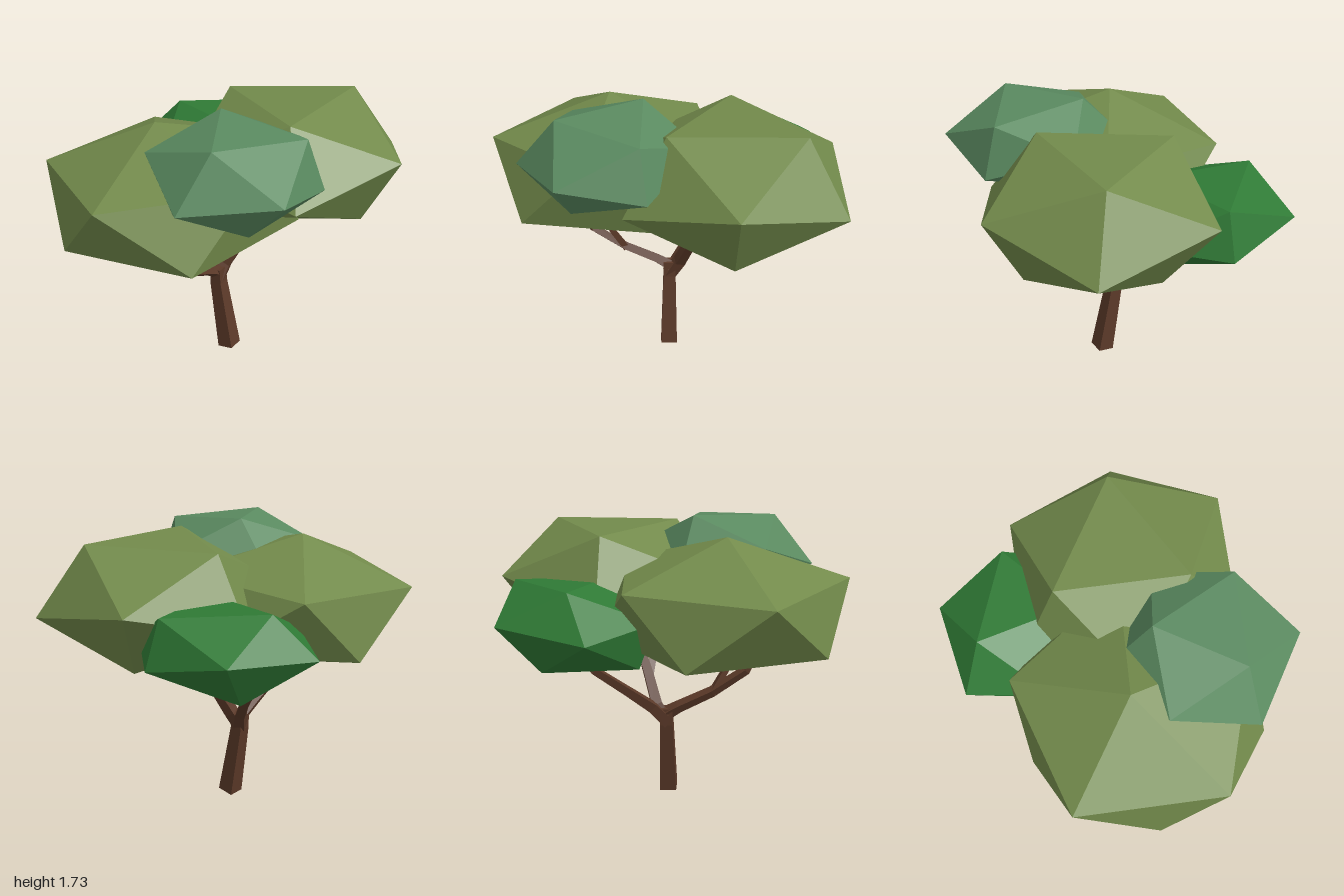
import * as THREE from 'three';
import { ConvexGeometry } from 'three/addons/geometries/ConvexGeometry.js';

const vec = (p) => new THREE.Vector3(...p);
const flat = (color) => new THREE.MeshStandardMaterial({ color, flatShading: true });

// Faceted crown: six corners plus their mirror points through the centre
function crown(name, color, centre, corners) {
  const c = vec(centre);
  const points = corners.flatMap((p) => {
    const v = vec(p);
    return [v, c.clone().multiplyScalar(2).sub(v)];
  });
  const mesh = new THREE.Mesh(new ConvexGeometry(points), flat(color));
  mesh.name = name;
  return mesh;
}

// Four-sided tapering limb; each path entry is [x, y, z, radius]
function limb(name, material, path, spin = 0) {
  const pts = path.map((p) => vec(p.slice(0, 3)));
  const n = pts.length;
  const pos = [], index = [];
  let side = new THREE.Vector3(Math.cos(spin), 0, Math.sin(spin));
  pts.forEach((p, i) => {
    const t = pts[Math.min(i + 1, n - 1)].clone().sub(pts[Math.max(i - 1, 0)]).normalize();
    side = side.clone().addScaledVector(t, -side.dot(t)).normalize();
    const up = new THREE.Vector3().crossVectors(t, side);
    for (let k = 0; k < 4; k++) {
      const a = (k * Math.PI) / 2, r = path[i][3];
      const v = p.clone().addScaledVector(side, Math.cos(a) * r).addScaledVector(up, Math.sin(a) * r);
      pos.push(v.x, v.y, v.z);
    }
  });
  for (let i = 0; i < n - 1; i++) {
    for (let k = 0; k < 4; k++) {
      const a = i * 4 + k, b = i * 4 + ((k + 1) % 4);
      index.push(a, b, b + 4, a, b + 4, a + 4);
    }
  }
  const e = (n - 1) * 4;
  index.push(0, 2, 1, 0, 3, 2, e, e + 1, e + 2, e, e + 2, e + 3);
  const geo = new THREE.BufferGeometry();
  geo.setAttribute('position', new THREE.Float32BufferAttribute(pos, 3));
  geo.setIndex(index);
  const flatGeo = geo.toNonIndexed();
  flatGeo.computeVertexNormals();
  const mesh = new THREE.Mesh(flatGeo, material);
  mesh.name = name;
  return mesh;
}

export function createModel() {
  const tree = new THREE.Group();
  tree.name = 'tree';
  const bark = flat(0x5c3a29);

  // Leaning trunk and forked branches
  tree.add(
    limb('trunk', bark, [[-0.015, 0.01, -0.012, 0.073], [-0.095, 0.47, -0.03, 0.055], [-0.1, 0.57, -0.03, 0.052]], 0.95),
    limb('frontBranch', bark, [[-0.1, 0.53, -0.04, 0.045], [-0.12, 0.58, 0.04, 0.038], [-0.15, 0.68, 0.24, 0.034],
      [-0.18, 0.82, 0.44, 0.03], [-0.18, 0.92, 0.49, 0.024]], 0.7),
    limb('frontTwig', bark, [[-0.15, 0.67, 0.24, 0.028], [-0.13, 0.82, 0.33, 0.024], [-0.12, 0.92, 0.36, 0.02]], 0.7),
    limb('backBranch', bark, [[-0.1, 0.48, -0.03, 0.048], [-0.16, 0.6, -0.13, 0.042], [-0.28, 0.75, -0.29, 0.034],
      [-0.44, 0.93, -0.48, 0.028]], 0.7),
    limb('sideBranch', bark, [[-0.1, 0.48, -0.03, 0.05], [-0.07, 0.58, -0.09, 0.045], [0.02, 0.74, -0.13, 0.04],
      [0.1, 0.88, -0.17, 0.034], [0.19, 1.04, -0.22, 0.028]], 0.7),
    limb('sideTwig', bark, [[0.01, 0.72, -0.13, 0.03], [0.11, 0.87, -0.09, 0.027], [0.21, 1.04, -0.06, 0.022]], 0.7),
  );

  // Leaf crowns
  tree.add(
    crown('frontCrown', 0x728a4b, [-0.255, 1.24, 0.28], [
      [-0.98, 1.37, 0.45], [-0.35, 1.41, 1.0], [-0.67, 1.02, 0.81],
      [0.15, 1.08, 0.88], [-0.17, 0.83, 0.27], [-0.86, 1.01, 0.0]]),
    crown('sideCrown', 0x728a4b, [0.285, 1.32, -0.325], [
      [0.97, 1.42, -0.19], [0.54, 1.66, -0.67], [0.39, 1.66, 0.08],
      [-0.18, 1.64, -0.42], [0.04, 1.38, -1.0], [0.76, 1.25, -0.86]]),
    crown('topCrown', 0x5a8a60, [0.18, 1.48, 0.375], [
      [0.17, 1.71, 0.66], [0.0, 1.73, 0.14], [0.55, 1.68, 0.25],
      [-0.29, 1.57, 0.52], [0.06, 1.42, 0.88], [0.59, 1.49, 0.71]]),
    crown('backCrown', 0x2f7a35, [-0.31, 1.165, -0.565], [
      [-0.62, 1.41, -0.61], [-0.12, 1.39, -0.91], [-0.1, 1.39, -0.37],
      [-0.58, 1.22, -1.0], [-0.85, 1.17, -0.52], [-0.09, 1.12, -1.0]]),
  );
  return tree;
}
